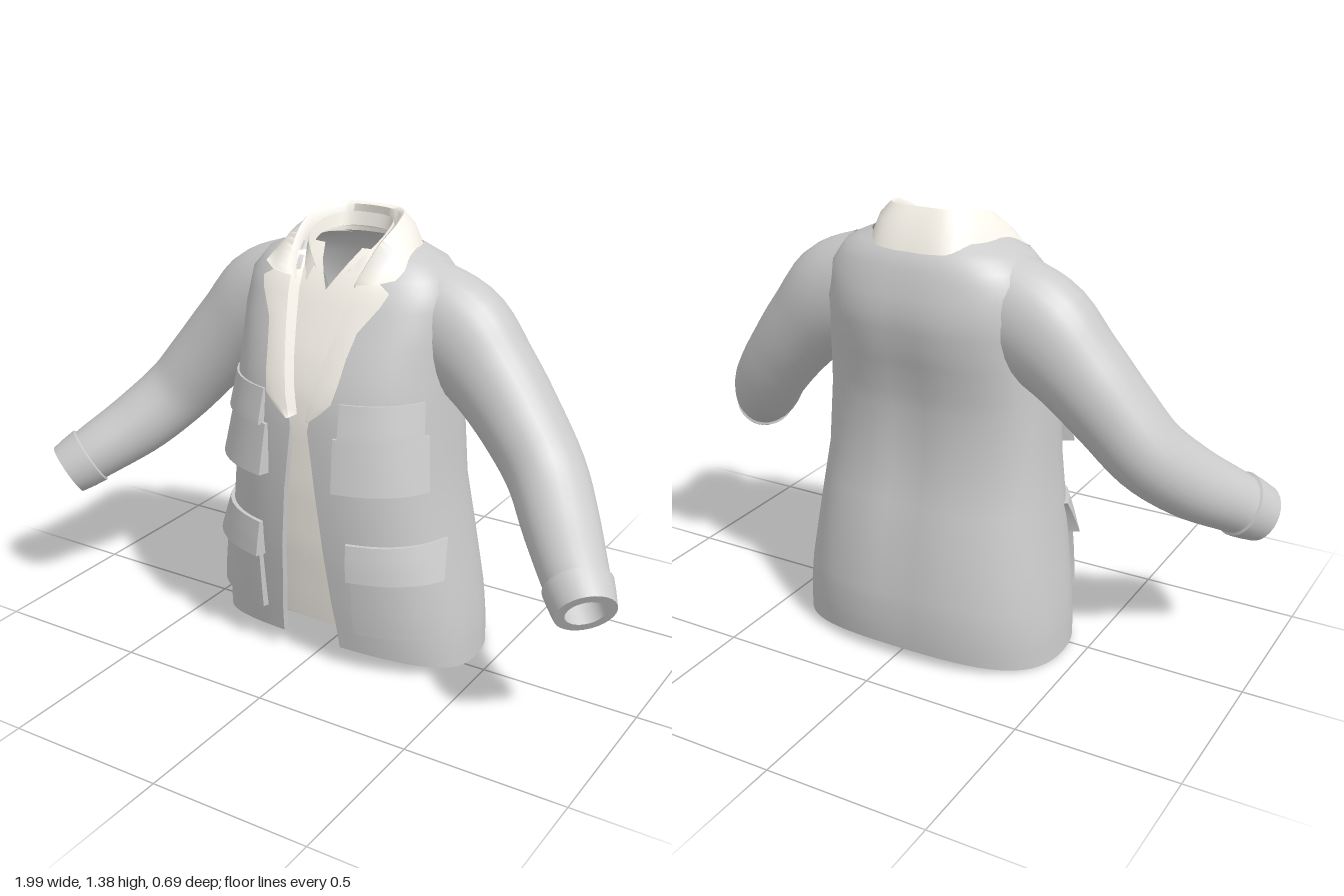
import * as THREE from 'three';
import { toCreasedNormals } from 'three/addons/utils/BufferGeometryUtils.js';

const grey = new THREE.MeshStandardMaterial({ color: 0xcccccc, side: THREE.DoubleSide });
const cream = new THREE.MeshStandardMaterial({ color: 0xf9f5ec, side: THREE.DoubleSide });
const V = (x, y, z) => new THREE.Vector3(x, y, z);
const lerp = THREE.MathUtils.lerp;

// Body levels: height, half width, front z, back z, half gap of the front opening
const LEVELS = [
  [0.00, 0.440, 0.205, -0.335, 0.105],
  [0.10, 0.436, 0.220, -0.345, 0.100],
  [0.20, 0.425, 0.235, -0.345, 0.090],
  [0.40, 0.395, 0.260, -0.312, 0.075],
  [0.60, 0.368, 0.272, -0.262, 0.055],
  [0.80, 0.355, 0.272, -0.250, 0.030],
  [0.90, 0.350, 0.262, -0.264, 0.045],
  [1.00, 0.345, 0.232, -0.286, 0.065],
  [1.10, 0.345, 0.188, -0.295, 0.090],
  [1.20, 0.332, 0.140, -0.270, 0.105],
  [1.26, 0.285, 0.095, -0.245, 0.115],
  [1.30, 0.200, 0.050, -0.205, 0.120],
];
const POWER = 0.8, MID_Z = -0.05;

function sample(table, y) {
  const last = table.length - 1;
  if (y <= table[0][0]) return table[0];
  for (let i = 0; i < last; i++) {
    const a = table[i], b = table[i + 1];
    if (y <= b[0]) return a.map((v, k) => lerp(v, b[k], (y - a[0]) / (b[0] - a[0])));
  }
  return table[last];
}

// Point on the body at angle t from the front, pushed outward by off
function body(t, y, off = 0) {
  const [, w, zf, zb] = sample(LEVELS, y);
  const s = Math.sin(t), c = Math.cos(t);
  const depth = c >= 0 ? zf - MID_Z : MID_Z - zb;
  return V(Math.sign(s) * Math.abs(s) ** POWER * (w + off), y,
    MID_Z + Math.sign(c) * Math.abs(c) ** POWER * (depth + off));
}
// Angle at which the body has the given x
function angle(x, y) {
  const k = Math.min(1, Math.abs(x) / sample(LEVELS, y)[1]);
  return Math.sign(x) * Math.asin(k ** (1 / POWER));
}

// Surface through rows of points
function surface(name, rows, material, closed = false, crease = 1.0) {
  const n = rows[0].length, index = [];
  for (let i = 0; i < rows.length - 1; i++) {
    for (let j = 0; j < (closed ? n : n - 1); j++) {
      const a = i * n + j, b = i * n + (j + 1) % n;
      index.push(a, b, a + n, b, b + n, a + n);
    }
  }
  let geo = new THREE.BufferGeometry().setFromPoints(rows.flat());
  geo.setIndex(index);
  geo = toCreasedNormals(geo, crease);
  const mesh = new THREE.Mesh(geo, material);
  mesh.name = name;
  return mesh;
}

// Coat body, open at the front, with a curved hem turned inward
function makeBody() {
  const hem = t => 0.01 + 0.065 * Math.max(0, Math.cos(t)) ** 1.5 + 0.035 * Math.max(0, -Math.cos(t)) ** 3;
  const heights = [0.04, 0, 0.06, 0.1, 0.15, 0.2, 0.3, 0.4, 0.5, 0.6, 0.7, 0.8, 0.85, 0.9,
    0.95, 1.0, 1.05, 1.1, 1.15, 1.2, 1.23, 1.26, 1.28, 1.3];
  const rows = heights.map((h, i) => {
    const row = [], t0 = angle(sample(LEVELS, h)[4], h), off = i === 0 ? -0.018 : 0;
    const at = (t, o) => {
      const lift = hem(t) * Math.max(0, 1 - h / 0.4);
      const p = body(t, h + lift, o);
      // shallow groove down the spine
      if (Math.cos(t) < 0) p.z += 0.012 * Math.exp(-((p.x / 0.07) ** 2)) * Math.sin(Math.PI * Math.min(1, h / 1.25));
      return p;
    };
    row.push(at(t0, -0.018));
    for (let j = 0; j <= 64; j++) row.push(at(lerp(t0, 2 * Math.PI - t0, j / 64), off));
    row.push(at(-t0, -0.018));
    return row;
  });
  return surface('coatBody', rows, grey);
}

// Bent sleeve with a cuff turned in at the wrist
function makeSleeve(side) {
  const path = new THREE.CatmullRomCurve3([
    V(0.21, 1.115, -0.075), V(0.335, 1.06, -0.075), V(0.455, 0.955, -0.065), V(0.565, 0.835, -0.045),
    V(0.665, 0.715, -0.01), V(0.76, 0.61, 0.085), V(0.85, 0.53, 0.19), V(0.925, 0.465, 0.275)]);
  const radii = new THREE.CatmullRomCurve3([
    V(0.165, 0.135, 0), V(0.17, 0.14, 0), V(0.142, 0.135, 0), V(0.125, 0.13, 0),
    V(0.115, 0.125, 0), V(0.108, 0.115, 0), V(0.095, 0.1, 0), V(0.082, 0.085, 0)]);
  const rings = [];
  for (let i = 0; i <= 27; i++) rings.push([i / 30, 1]);
  rings.push([0.905, 1.09], [0.95, 1.09], [1, 1.06], [1, 0.7], [0.92, 0.66], [0.8, 0.7]);
  const rows = rings.map(([u, k]) => {
    const c = path.getPoint(u), t = path.getTangent(u), r = radii.getPoint(u);
    const b = V(0, 0, 1).addScaledVector(t, -t.z).normalize();
    const n = V().crossVectors(b, t);
    const row = [];
    for (let j = 0; j < 28; j++) {
      const a = j / 28 * 2 * Math.PI;
      const p = c.clone().addScaledVector(n, Math.cos(a) * r.x * k).addScaledVector(b, Math.sin(a) * r.y * k);
      p.x *= side;
      row.push(p);
    }
    return row;
  });
  return surface(side > 0 ? 'leftSleeve' : 'rightSleeve', rows, grey, true);
}

// Raised panel following the body, with closed edges
function makePanel(name, side, x0, x1, yTop, yBottom, offTop, offBottom) {
  const steps = [0, 0, 0.04, 0.2, 0.35, 0.5, 0.65, 0.8, 0.96, 1, 1];
  const end = steps.length - 1;
  const rows = steps.map((v, i) => {
    const y = lerp(yTop, yBottom, v), a = angle(x0, y), b = angle(x1, y);
    return steps.map((u, j) => {
      const edge = i === 0 || j === 0 || i === end || j === end;
      const p = body(lerp(a, b, u), y, edge ? -0.008 : lerp(offTop, offBottom, v));
      p.x *= side;
      return p;
    });
  });
  return surface(name, rows, grey, false, 0.8);
}

// Notched lapel: height, inner x, outer x
function makeLapel(side) {
  const outline = [[1.28, 0.115, 0.155], [1.23, 0.11, 0.165], [1.205, 0.105, 0.205], [1.17, 0.1, 0.19], [1.1, 0.085, 0.145],
    [1.03, 0.07, 0.13], [0.96, 0.055, 0.12], [0.9, 0.042, 0.108], [0.865, 0.034, 0.075], [0.835, 0.028, 0.04]];
  const rows = outline.map(([y, a, b]) => [[a, -0.03], [a, 0.012], [lerp(a, b, 0.5), 0.018], [b, 0.016], [b, -0.006]]
    .map(([x, off]) => {
      const p = body(angle(x, y), y, off);
      p.x *= side;
      return p;
    }));
  return surface(side > 0 ? 'leftLapel' : 'rightLapel', rows, cream);
}

// Collar swept round the neck from outer edge over the fold to the inner edge
function makeCollar(name, edges) {
  const curves = edges.map(half => {
    const pts = half.map(p => V(...p));
    const mirrored = pts.slice(1).reverse().map(p => V(-p.x, p.y, p.z));
    return new THREE.CatmullRomCurve3([...mirrored, ...pts]);
  });
  const rows = curves.map(c => c.getPoints(48));
  return surface(name, rows, cream, false, 1.2);
}

// Shirt front half lying just behind the coat
function makeShirt(side) {
  const rows = [];
  for (let i = 0; i <= 30; i++) {
    const y = lerp(0.14, 1.3, i / 30), row = [];
    const inner = y < 1.17 ? -0.015 : lerp(-0.01, 0.075, (y - 1.17) / 0.13);
    const outer = y < 1.1 ? 0.3 : lerp(0.3, 0.14, (y - 1.1) / 0.2);
    for (let j = 0; j <= 10; j++) {
      const x = lerp(inner, outer, j / 10);
      const p = body(angle(x, y), y, side > 0 ? -0.022 : -0.028);
      p.x *= side;
      row.push(p);
    }
    rows.push(row);
  }
  return surface(side > 0 ? 'leftShirtFront' : 'rightShirtFront', rows, cream);
}

export function createModel() {
  const coat = new THREE.Group();
  coat.name = 'coat';
  coat.add(makeBody());
  for (const side of [1, -1]) {
    const s = side > 0 ? 'left' : 'right';
    coat.add(
      makeSleeve(side), makeLapel(side), makeShirt(side),
      makePanel(s + 'ChestPocketYoke', side, 0.13, 0.325, 0.9, 0.79, 0.006, 0.022),
      makePanel(s + 'ChestPocketFlap', side, 0.115, 0.335, 0.795, 0.635, 0.01, 0.036),
      makePanel(s + 'HipPocket', side, 0.16, 0.37, 0.42, 0.15, 0.012, 0.018),
      makePanel(s + 'HipPocketFlap', side, 0.15, 0.378, 0.46, 0.345, 0.012, 0.034),
    );
  }
  coat.add(makeCollar('collar', [
    [[0, 1.272, -0.232], [0.13, 1.277, -0.21], [0.2, 1.285, -0.09], [0.225, 1.268, 0.03], [0.222, 1.242, 0.1]],
    [[0, 1.34, -0.205], [0.12, 1.345, -0.182], [0.175, 1.345, -0.07], [0.185, 1.31, 0.04], [0.175, 1.23, 0.135]],
    [[0, 1.39, -0.165], [0.1, 1.388, -0.15], [0.147, 1.373, -0.045], [0.142, 1.325, 0.055], [0.115, 1.225, 0.15]],
    [[0, 1.385, -0.152], [0.092, 1.38, -0.137], [0.135, 1.365, -0.045], [0.13, 1.315, 0.05], [0.105, 1.22, 0.135]],
    [[0, 1.3, -0.165], [0.095, 1.3, -0.14], [0.135, 1.3, -0.045], [0.128, 1.27, 0.045], [0.1, 1.2, 0.12]],
  ]));
  coat.add(makeCollar('shirtCollar', [
    [[0, 1.315, -0.155], [0.088, 1.315, -0.135], [0.13, 1.305, -0.04], [0.12, 1.26, 0.05], [0.075, 1.2, 0.11]],
    [[0, 1.365, -0.14], [0.08, 1.362, -0.122], [0.118, 1.348, -0.035], [0.11, 1.31, 0.04], [0.06, 1.25, 0.085]],
    [[0, 1.325, -0.132], [0.075, 1.322, -0.115], [0.112, 1.31, -0.033], [0.1, 1.27, 0.04], [0.03, 1.19, 0.1]],
  ]));
  return coat;
}
